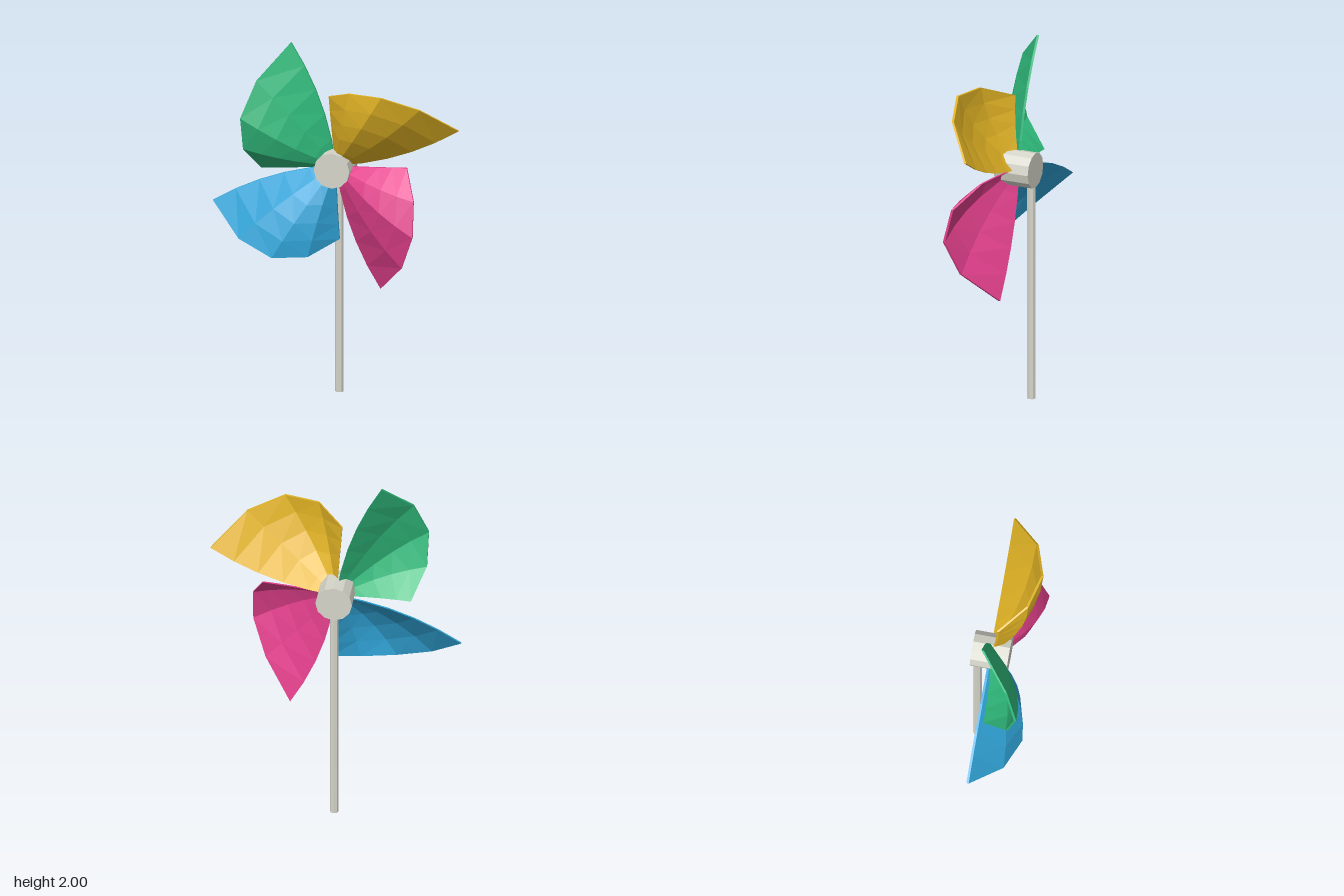
import * as THREE from 'three';

const HUB_Y = 1.315;
const ROWS = 5;
const THICK = 0.013;
const BACK_Z = -0.058;

// Outer rim of one vane, relative to the hub: x, y, z and sideways bend of its rib
const RIM = [
  [-0.25, 0.685, BACK_Z, 0.042],
  [-0.405, 0.505, 0.1, 0.02],
  [-0.48, 0.305, 0.165, 0.005],
  [-0.475, 0.115, 0.118, 0],
  [-0.405, -0.03, -0.018, 0],
];

// Point on a rib: the vane cups forward quickly near the hub, then levels off
function ribPoint(i, j) {
  const t = i / ROWS;
  const [x, y, z, bend] = RIM[j];
  const len = Math.hypot(x, y);
  const side = bend * 4 * t * (1 - t);
  const rise = 1 - Math.pow(1 - t, 2.1);
  return [x * t + (y / len) * side, y * t - (x / len) * side, BACK_Z + (z - BACK_Z) * rise];
}

// Closed thin cupped shell
function vaneGeometry() {
  const pos = [];
  const back = (p) => [p[0], p[1], p[2] - THICK];
  const tri = (a, b, c) => pos.push(...a, ...b, ...c);
  const quad = (a, b, c, d) => { tri(a, b, c); tri(a, c, d); };
  const wall = (a, b) => quad(a, back(a), back(b), b);
  const last = RIM.length - 1;
  for (let j = 0; j < last; j++) {
    for (let i = 0; i < ROWS; i++) {
      const a = ribPoint(i, j), b = ribPoint(i + 1, j);
      const c = ribPoint(i + 1, j + 1), d = ribPoint(i, j + 1);
      tri(a, b, c);
      tri(back(a), back(c), back(b));
      if (i > 0) {
        tri(a, c, d);
        tri(back(a), back(d), back(c));
      }
    }
    wall(ribPoint(ROWS, j), ribPoint(ROWS, j + 1));
  }
  for (let i = 0; i < ROWS; i++) {
    wall(ribPoint(i, 0), ribPoint(i + 1, 0));
    wall(ribPoint(i + 1, last), ribPoint(i, last));
  }
  const g = new THREE.BufferGeometry();
  g.setAttribute('position', new THREE.Float32BufferAttribute(pos, 3));
  g.computeVertexNormals();
  return g;
}

function material(name, color) {
  const m = new THREE.MeshStandardMaterial({ color, flatShading: true });
  m.name = name;
  return m;
}

export function createModel() {
  const model = new THREE.Group();
  model.name = 'pinwheel';
  const grey = material('lightGrey', 0xd6d5ca);

  const add = (name, geometry, mat) => {
    const mesh = new THREE.Mesh(geometry, mat);
    mesh.name = name;
    model.add(mesh);
    return mesh;
  };

  // Stick behind the wheel
  add('stick', new THREE.CylinderGeometry(0.024, 0.024, 1.3, 8), grey).position.set(0, 0.65, -0.14);

  // Hub
  const hub = add('hub', new THREE.CylinderGeometry(0.1, 0.1, 0.204, 12).rotateX(Math.PI / 2), grey);
  hub.position.set(0, HUB_Y, -0.063);

  // Four vanes, a quarter turn apart
  const geometry = vaneGeometry();
  [['green', 0x2fb87a], ['blue', 0x30a3d6], ['pink', 0xe2408c], ['yellow', 0xe0b224]].forEach(([name, color], k) => {
    const vane = add(name + 'Vane', geometry, material(name, color));
    vane.position.y = HUB_Y;
    vane.rotation.z = k * Math.PI / 2;
  });
  return model;
}
